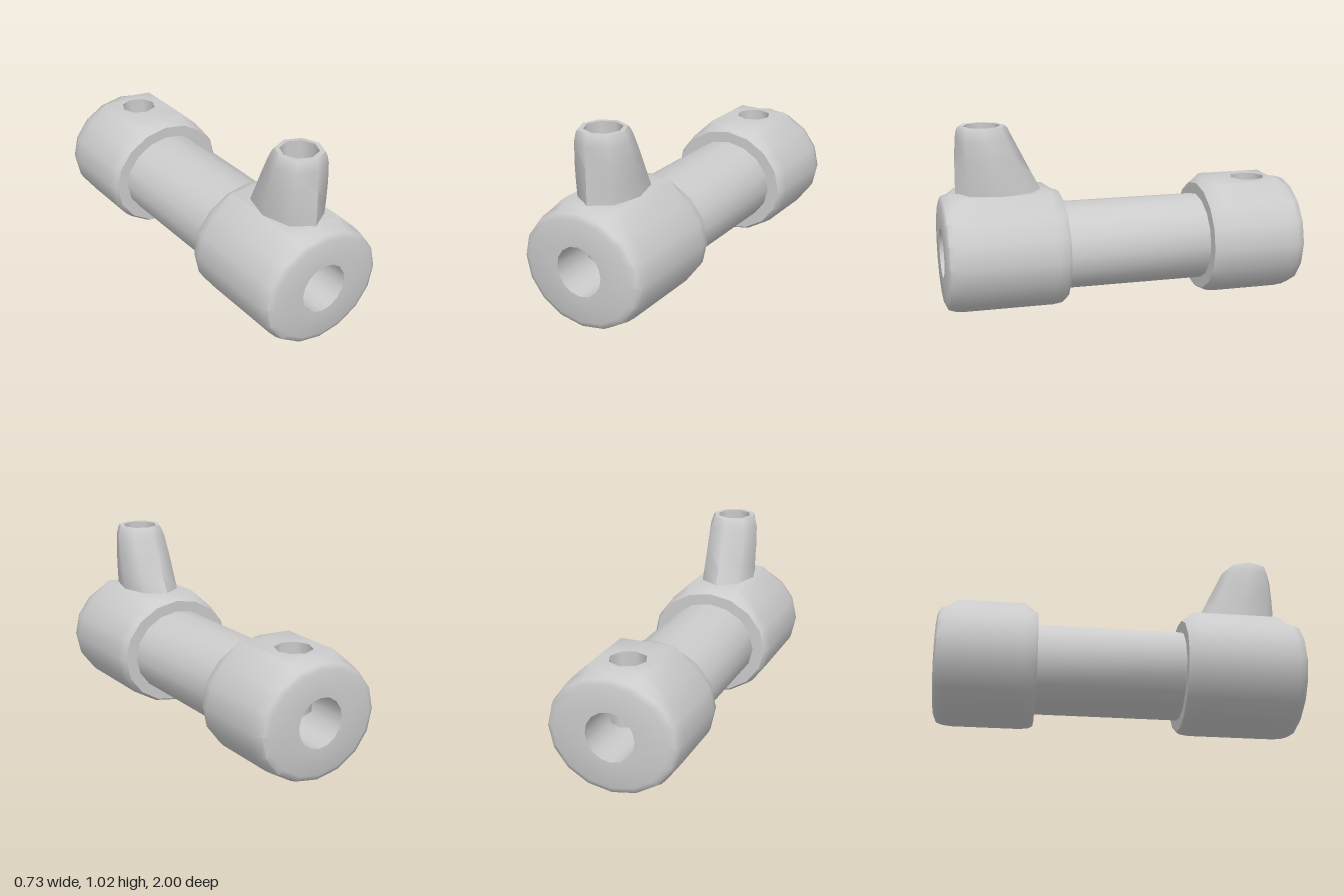
import * as THREE from 'three';
import { toCreasedNormals } from 'three/addons/utils/BufferGeometryUtils.js';

const AXIS_Y = 0.33, SIDES = 16, BORE = 0.136, HOLE = 0.1;
const RX = 0.367, RY = 0.326, FLAT_X = 0.155, FLAT_Y = 0.66;

// Loop around the long z axis
function axialRing(rx, ry, z) {
  return Array.from({ length: SIDES }, (_, j) => {
    const a = (j / SIDES) * Math.PI * 2;
    return [rx * Math.cos(a), AXIS_Y + ry * Math.sin(a), z];
  });
}

// Eight-sided loop around a vertical axis
function uprightRing(y, rx, zc, rz = rx) {
  return Array.from({ length: 8 }, (_, k) => {
    const a = (k * Math.PI) / 4;
    return [rx * Math.cos(a), y, zc + rz * Math.sin(a)];
  });
}

// Triangles between successive loops, optionally leaving some quads out
function loft(rings, skip = () => false) {
  const out = [];
  for (let i = 0; i + 1 < rings.length; i++) {
    const p = rings[i], q = rings[i + 1], n = p.length;
    for (let j = 0; j < n; j++) {
      if (skip(i, j)) continue;
      const k = (j + 1) % n;
      out.push(...p[j], ...q[j], ...q[k], ...p[j], ...q[k], ...p[k]);
    }
  }
  return out;
}

function part(name, positions, side = THREE.FrontSide) {
  const geo = new THREE.BufferGeometry();
  geo.setAttribute('position', new THREE.Float32BufferAttribute(positions, 3));
  const mesh = new THREE.Mesh(
    toCreasedNormals(geo, 0.9),
    new THREE.MeshStandardMaterial({ color: 0xcccccc, side })
  );
  mesh.name = name;
  return mesh;
}

// Rounded collar with a flat pad on top, pierced by an eight-sided hole
function collar(name, zOuter, zInner, holeZ) {
  const dir = Math.sign(zOuter);
  const outer = [[0.86, 0], [0.95, 0.013], [0.985, 0.05], [1, 0.1]];
  const inner = [[1, 0.07], [0.98, 0.02], [0.94, 0], [0.7, 0]];
  const rings = [
    axialRing(BORE, BORE, zOuter),
    ...outer.map(([s, d]) => axialRing(RX * s, RY * s, zOuter - dir * d)),
    ...inner.map(([s, d]) => axialRing(RX * s, RY * s, zInner + dir * d)),
  ];
  // Raise the top of the wall into the pad
  for (const r of [rings[4], rings[5]]) {
    [FLAT_X, 0, -FLAT_X].forEach((x, i) => { r[3 + i][0] = x; r[3 + i][1] = FLAT_Y; });
  }
  if (dir < 0) rings.reverse();
  const wall = dir > 0 ? 4 : 3;
  const zFront = rings[wall][0][2], zBack = rings[wall + 1][0][2];
  const body = loft(rings, (i, j) => i === wall && (j === 3 || j === 4));
  // Pad from its rectangular border to the hole
  const border = uprightRing(FLAT_Y, 1, 0).map(([x, y, z]) => [
    Math.sign(Math.round(x)) * FLAT_X, y,
    Math.abs(z) < 0.1 ? holeZ : z > 0 ? zFront : zBack,
  ]);
  return part(name, body.concat(loft([border, uprightRing(FLAT_Y, HOLE, holeZ)])));
}

export function createModel() {
  const model = new THREE.Group();
  model.name = 'pipeFitting';

  model.add(collar('frontCollar', 1, 0.345, 0.76));
  model.add(collar('rearCollar', -1, -0.46, -0.77));

  // Connecting pipe and the bore through the full length
  model.add(part('pipe', loft([axialRing(0.276, 0.243, 0.4), axialRing(0.276, 0.243, -0.5)])));
  model.add(part('bore', loft([axialRing(BORE, BORE, -1), axialRing(BORE, BORE, 1)])));

  // Sloped spout: height, half width, back z, front z
  const spoutRings = [
    [0.65, 0.157, 0.443, 0.915],
    [0.75, 0.157, 0.495, 0.915],
    [0.85, 0.156, 0.545, 0.913],
    [0.96, 0.148, 0.6, 0.907],
    [1.005, 0.135, 0.622, 0.9],
    [1.022, 0.125, 0.637, 0.89],
  ].map(([y, w, b, f]) => uprightRing(y, w, (b + f) / 2, (f - b) / 2));
  // Lip, then the inner channel down into the bore
  spoutRings.push(uprightRing(1.022, HOLE, 0.76), uprightRing(0.325, HOLE, 0.76));
  model.add(part('spout', loft(spoutRings), THREE.DoubleSide));

  // Vertical channel of the rear collar
  model.add(part('rearChannel',
    loft([uprightRing(FLAT_Y, HOLE, -0.77), uprightRing(0.325, HOLE, -0.77)]),
    THREE.DoubleSide));

  return model;
}
